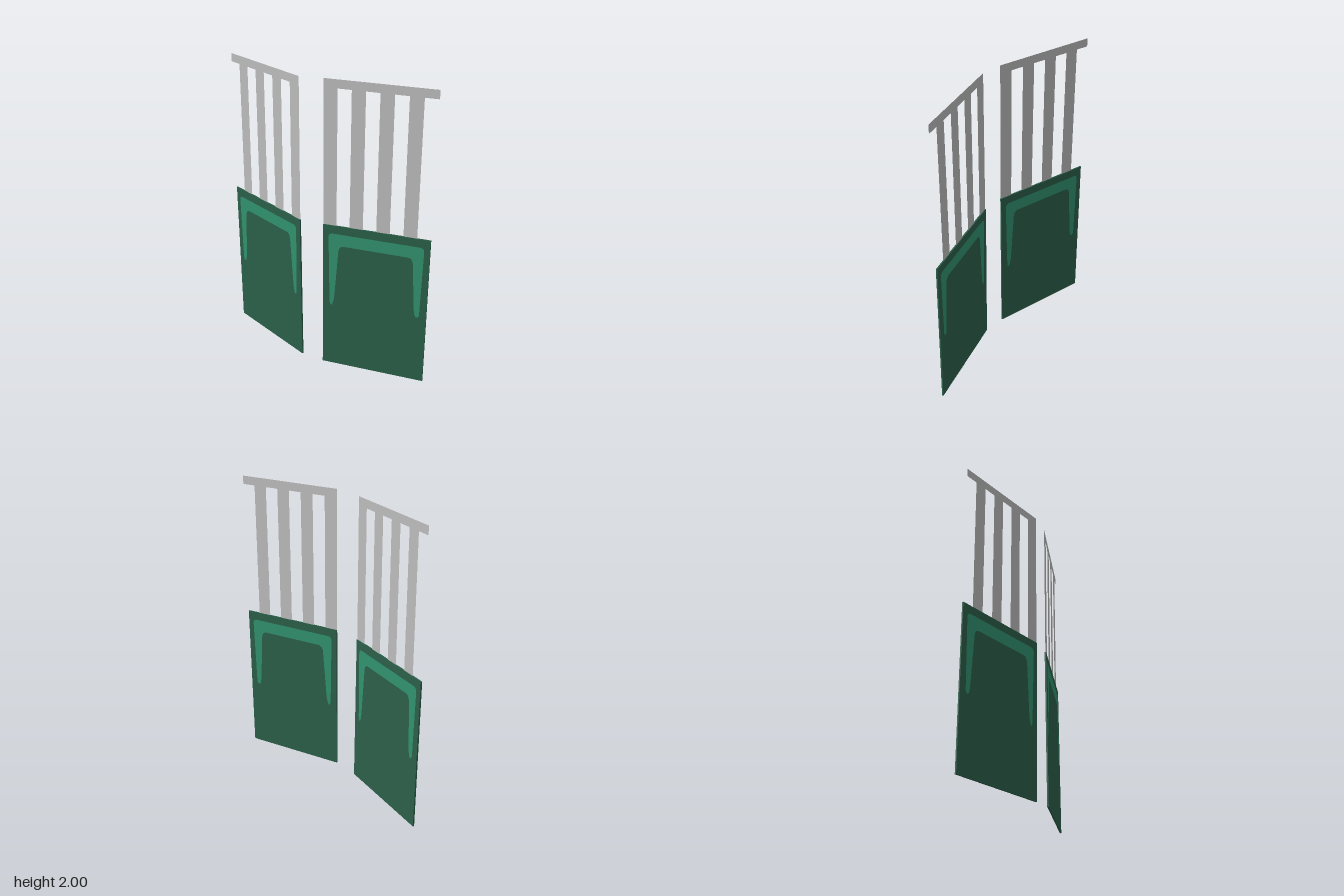
import * as THREE from 'three';

const green = new THREE.MeshStandardMaterial({ name: 'dark green', color: 0x2b5f49 });
const teal = new THREE.MeshStandardMaterial({ name: 'light green', color: 0x31916f });
const grey = new THREE.MeshStandardMaterial({ name: 'light grey', color: 0xbcbcbc, side: THREE.DoubleSide });

const THICK = 0.01;
const BOARD_H = 1.035;

// Flat comb: a top rail with four bars hanging down; y = 0 is the board top,
// and the last bar sits flush with the +x end
function combShape(w) {
  const h = 0.95, rail = 0.055, step = w / 8;
  const s = new THREE.Shape();
  s.moveTo(-w / 2, h);
  s.lineTo(-w / 2, h - rail);
  for (let i = 0; i < 4; i++) {
    const x = -w / 2 + step * (2 * i + 1);
    s.lineTo(x, h - rail);
    s.lineTo(x, 0);
    s.lineTo(x + step, 0);
    s.lineTo(x + step, h - rail);
  }
  s.lineTo(w / 2, h);
  return s;
}

// Arch with rounded corners and tapering legs; y = 0 is the board top
function archShape(w) {
  const a = w / 2 - 0.037, top = -0.055, under = -0.137;
  const s = new THREE.Shape();
  s.moveTo(-a, top - 0.03);
  s.quadraticCurveTo(-a, top, -a + 0.03, top);
  s.lineTo(a - 0.03, top);
  s.quadraticCurveTo(a, top, a, top - 0.03);
  s.lineTo(a - 0.01, -0.55);
  s.quadraticCurveTo(a - 0.013, -0.578, a - 0.024, -0.578);
  s.quadraticCurveTo(a - 0.037, -0.565, a - 0.043, -0.5);
  s.lineTo(a - 0.067, under - 0.04);
  s.quadraticCurveTo(a - 0.072, under, a - 0.105, under);
  s.lineTo(-a + 0.105, under);
  s.quadraticCurveTo(-a + 0.072, under, -a + 0.067, under - 0.04);
  s.lineTo(-a + 0.047, -0.48);
  s.quadraticCurveTo(-a + 0.043, -0.557, -a + 0.027, -0.557);
  s.quadraticCurveTo(-a + 0.011, -0.557, -a + 0.009, -0.53);
  return s;
}

// One panel: a slightly leaning board with an arch on both faces, and a comb above
function makePanel(name, w, mirrored, lean) {
  const panel = new THREE.Group();
  panel.name = name;

  const board = new THREE.Group();
  board.name = 'board';
  board.rotation.x = lean;
  const slab = new THREE.Mesh(new THREE.BoxGeometry(w, BOARD_H, THICK), green);
  slab.name = 'slab';
  slab.position.y = -BOARD_H / 2;
  board.add(slab);

  for (const side of [1, -1]) {
    const arch = new THREE.Mesh(new THREE.ShapeGeometry(archShape(w), 8), teal);
    arch.name = side > 0 ? 'frontArch' : 'backArch';
    arch.position.z = side * (THICK / 2 + 0.002);
    if (side < 0) arch.rotation.y = Math.PI;
    // keep the longer leg toward the middle of the model
    if ((side > 0) === mirrored) arch.scale.x = -1;
    board.add(arch);
  }

  const comb = new THREE.Mesh(new THREE.ShapeGeometry(combShape(w)), grey);
  comb.name = 'comb';
  if (mirrored) comb.scale.x = -1;
  panel.add(board, comb);
  return panel;
}

export function createModel() {
  const model = new THREE.Group();
  model.name = 'twoPanels';

  const right = makePanel('rightPanel', 0.7, false, 0.009);
  right.position.set(-0.43, 1.035, 0.002);
  right.rotation.y = -0.296;

  const left = makePanel('leftPanel', 0.697, true, -0.006);
  left.position.set(0.419, 1.05, 0.022);
  left.rotation.y = 0.226;

  model.add(right, left);
  return model;
}
